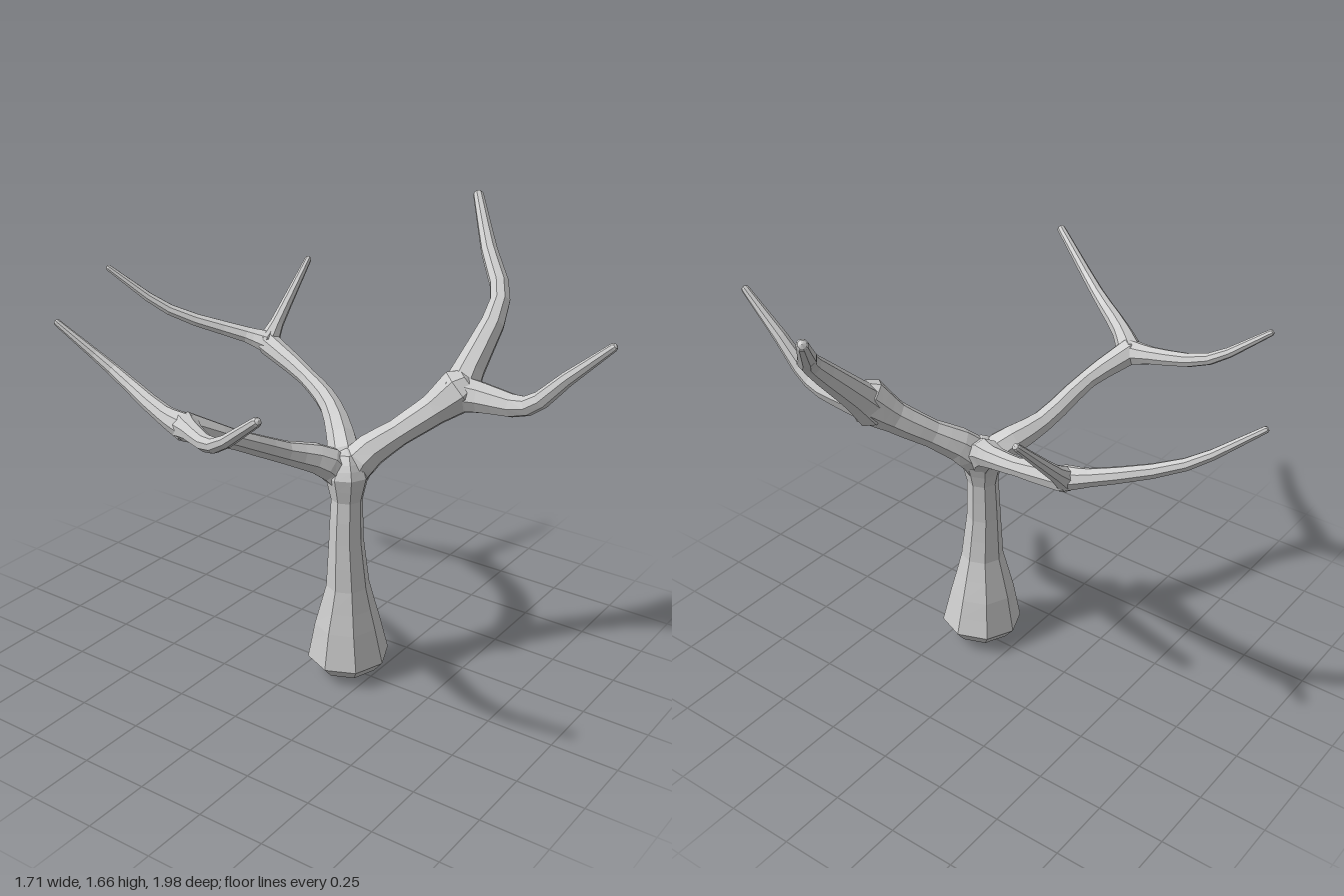
import * as THREE from 'three';

const SIDES = 8;
const bark = new THREE.MeshStandardMaterial({ color: 0xcccccc, flatShading: true });

// Faceted limb swept through stations [x, y, z, radius], with blunt domed ends
function limb(name, stations, steps = 3, startDome = 0.3) {
  const curve = new THREE.CatmullRomCurve3(stations.map(([x, y, z]) => new THREE.Vector3(x, y, z)));
  const spans = (stations.length - 1) * steps;
  const positions = [];
  const index = [];
  const normal = new THREE.Vector3(0, 0, 1);
  const side = new THREE.Vector3();
  let rings = 0;

  const addRing = (centre, radius) => {
    for (let j = 0; j < SIDES; j++) {
      const a = (j / SIDES) * Math.PI * 2;
      const p = centre.clone().addScaledVector(normal, Math.cos(a) * radius).addScaledVector(side, Math.sin(a) * radius);
      positions.push(p.x, p.y, p.z);
    }
    rings++;
  };

  let start, end;
  for (let i = 0; i <= spans; i++) {
    const t = i / spans;
    const centre = curve.getPoint(t);
    const tangent = curve.getTangent(t);
    // Carry the previous normal along so that the facets do not twist
    if (i === 0 && Math.abs(tangent.z) > 0.9) normal.set(0, 1, 0);
    normal.addScaledVector(tangent, -normal.dot(tangent)).normalize();
    side.crossVectors(tangent, normal);
    const k = Math.min(Math.floor(i / steps), stations.length - 2);
    const r = THREE.MathUtils.lerp(stations[k][3], stations[k + 1][3], i / steps - k);
    if (i === 0) {
      start = centre.clone().addScaledVector(tangent, -r * startDome * 1.7);
      addRing(centre.clone().addScaledVector(tangent, -r * startDome), r * 0.75);
    }
    addRing(centre, r);
    if (i === spans) {
      addRing(centre.clone().addScaledVector(tangent, r * 0.5), r * 0.7);
      end = centre.clone().addScaledVector(tangent, r * 0.8);
    }
  }

  for (let i = 0; i < rings - 1; i++) {
    for (let j = 0; j < SIDES; j++) {
      const a = i * SIDES + j;
      const b = i * SIDES + ((j + 1) % SIDES);
      index.push(a, b, b + SIDES, a, b + SIDES, a + SIDES);
    }
  }
  // End fans
  const startId = rings * SIDES;
  positions.push(start.x, start.y, start.z, end.x, end.y, end.z);
  const last = (rings - 1) * SIDES;
  for (let j = 0; j < SIDES; j++) {
    const n = (j + 1) % SIDES;
    index.push(startId, n, j, startId + 1, last + j, last + n);
  }

  const geometry = new THREE.BufferGeometry();
  geometry.setAttribute('position', new THREE.Float32BufferAttribute(positions, 3));
  geometry.setIndex(index);
  geometry.computeVertexNormals();
  const mesh = new THREE.Mesh(geometry, bark);
  mesh.name = name;
  return mesh;
}

export function createModel() {
  const group = new THREE.Group();
  group.name = 'bareTree';

  // Flared trunk, ending inside the fork
  group.add(limb('trunk', [
    [-0.005, 0.08, 0.15, 0.152], [-0.012, 0.22, 0.15, 0.122], [-0.02, 0.38, 0.155, 0.08],
    [-0.025, 0.56, 0.15, 0.064], [-0.018, 0.72, 0.147, 0.058], [-0.015, 0.81, 0.145, 0.08],
    [-0.01, 0.86, 0.14, 0.06],
  ], 2, 0.3));

  // Front left bough and its two branches
  group.add(limb('frontBough', [
    [-0.015, 0.75, 0.147, 0.05], [0.03, 0.86, 0.17, 0.068], [0.13, 0.95, 0.26, 0.052],
    [0.22, 1.03, 0.35, 0.06], [0.28, 1.1, 0.42, 0.085],
  ]));
  group.add(limb('frontBranch', [
    [0.27, 1.09, 0.39, 0.075], [0.285, 1.09, 0.5, 0.058], [0.288, 1.1, 0.68, 0.036],
    [0.29, 1.23, 0.82, 0.026], [0.293, 1.375, 0.975, 0.015],
  ]));
  group.add(limb('frontLeftBranch', [
    [0.27, 1.07, 0.41, 0.075], [0.35, 1.16, 0.415, 0.058], [0.54, 1.36, 0.42, 0.038],
    [0.68, 1.49, 0.29, 0.031], [0.832, 1.645, 0.15, 0.02],
  ]));

  // Back left bough and its two branches
  group.add(limb('backBough', [
    [-0.015, 0.77, 0.147, 0.05], [0.03, 0.87, 0.1, 0.06], [0.15, 0.97, -0.04, 0.042],
    [0.22, 1.03, -0.2, 0.034], [0.275, 1.1, -0.42, 0.045],
  ]));
  group.add(limb('backBranch', [
    [0.275, 1.105, -0.42, 0.045], [0.25, 1.125, -0.5, 0.032], [0.115, 1.21, -0.77, 0.022],
    [0.012, 1.365, -0.98, 0.012],
  ]));
  group.add(limb('backLeftBranch', [
    [0.27, 1.1, -0.42, 0.045], [0.34, 1.16, -0.428, 0.027], [0.55, 1.365, -0.43, 0.013],
  ]));

  // Right bough and its two branches
  group.add(limb('rightBough', [
    [-0.018, 0.78, 0.147, 0.05], [-0.06, 0.86, 0.09, 0.062], [-0.2, 0.93, 0.01, 0.042],
    [-0.4, 1.035, -0.05, 0.036], [-0.55, 1.115, -0.135, 0.05],
  ]));
  group.add(limb('rightBackBranch', [
    [-0.55, 1.11, -0.13, 0.05], [-0.545, 1.13, -0.23, 0.034], [-0.505, 1.22, -0.49, 0.022],
    [-0.558, 1.365, -0.69, 0.012],
  ]));
  group.add(limb('rightFrontBranch', [
    [-0.545, 1.11, -0.14, 0.05], [-0.62, 1.14, -0.05, 0.036], [-0.75, 1.19, 0.15, 0.025],
    [-0.844, 1.36, 0.39, 0.016],
  ]));

  return group;
}
